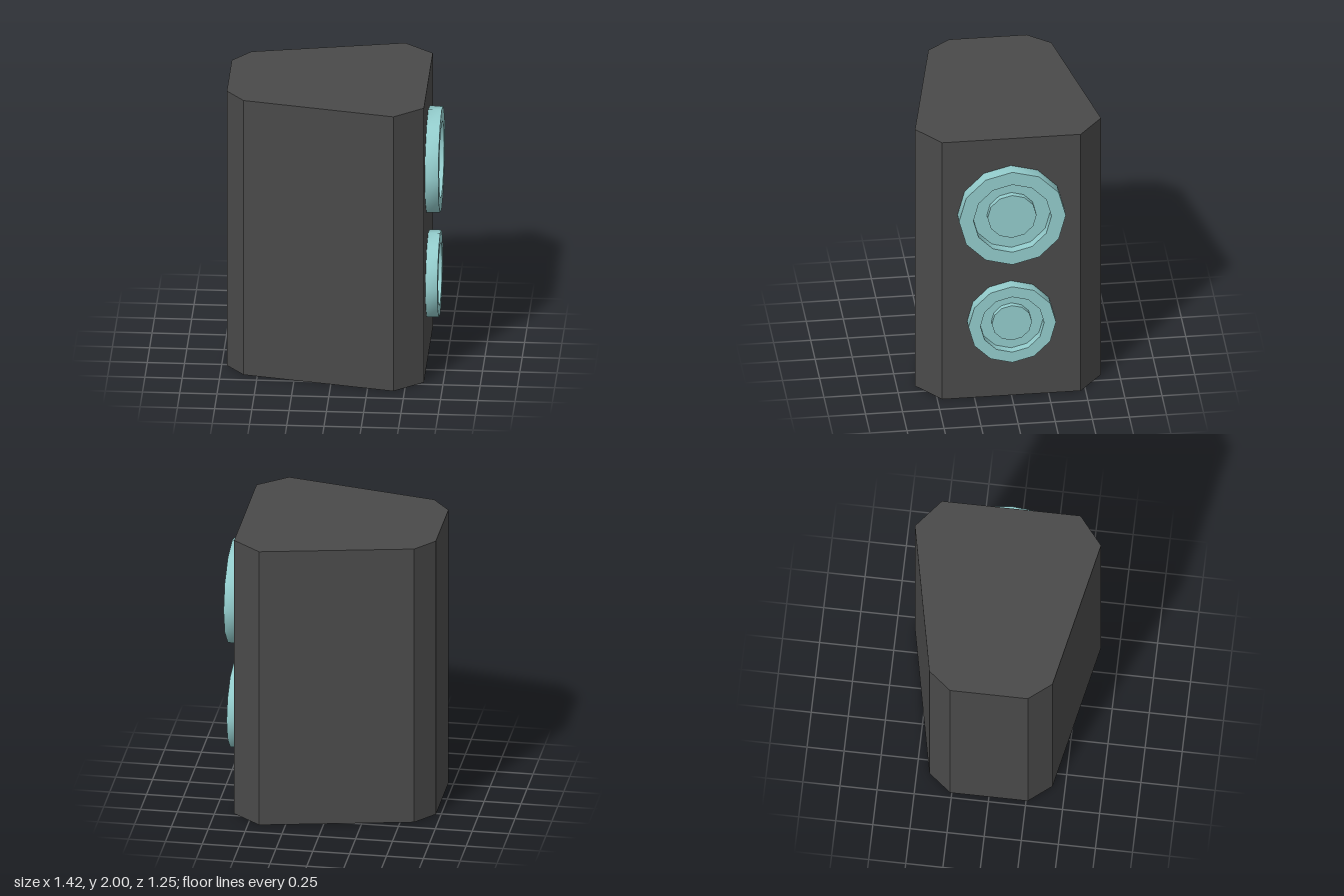
import * as THREE from 'three';
import { toCreasedNormals } from 'three/addons/utils/BufferGeometryUtils.js';

const HEIGHT = 2;
const FACE_X = 0.62;

// Tapered eight-sided cabinet shell: walls and top, open underneath
function cabinetGeometry() {
  const half = [[FACE_X, -0.467], [0.425, -0.627], [-0.593, -0.415], [-0.715, -0.262]];
  const outline = [...half, ...half.map(([x, z]) => [x, -z]).reverse()];
  const positions = [];
  const add = (...corners) => corners.forEach(([p, y]) => positions.push(p[0], y, p[1]));
  outline.forEach((a, i) => {
    const b = outline[(i + 1) % outline.length];
    add([a, 0], [b, 0], [b, HEIGHT]);
    add([a, 0], [b, HEIGHT], [a, HEIGHT]);
    if (i > 0 && i < outline.length - 1) add([outline[0], HEIGHT], [a, HEIGHT], [b, HEIGHT]);
  });
  const geometry = new THREE.BufferGeometry();
  geometry.setAttribute('position', new THREE.Float32BufferAttribute(positions, 3));
  geometry.computeVertexNormals();
  return geometry;
}

// Twelve-sided speaker: raised rim, recessed cone floor and raised centre cap
function speaker(name, y, rim, hole, cap, depth, material) {
  const profile = [
    [rim, 0], [rim, depth], [hole, depth], [hole, depth * 0.28],
    [cap, depth * 0.28], [cap, depth * 0.73], [0, depth * 0.73],
  ].map(([r, h]) => new THREE.Vector2(r, h));
  const geometry = toCreasedNormals(new THREE.LatheGeometry(profile, 12), 0.7);
  const mesh = new THREE.Mesh(geometry, material);
  mesh.name = name;
  mesh.rotation.z = -Math.PI / 2;
  mesh.position.set(FACE_X, y, 0.004);
  return mesh;
}

export function createModel() {
  const model = new THREE.Group();
  model.name = 'loudspeaker';

  const dark = new THREE.MeshStandardMaterial({ color: 0x4a4a4a, side: THREE.DoubleSide });
  const teal = new THREE.MeshStandardMaterial({ color: 0x93cccc, side: THREE.DoubleSide });

  const cabinet = new THREE.Mesh(cabinetGeometry(), dark);
  cabinet.name = 'cabinet';
  model.add(cabinet);

  model.add(speaker('upperSpeaker', 1.43, 0.36, 0.263, 0.165, 0.09, teal));
  model.add(speaker('lowerSpeaker', 0.597, 0.295, 0.215, 0.135, 0.08, teal));
  return model;
}
